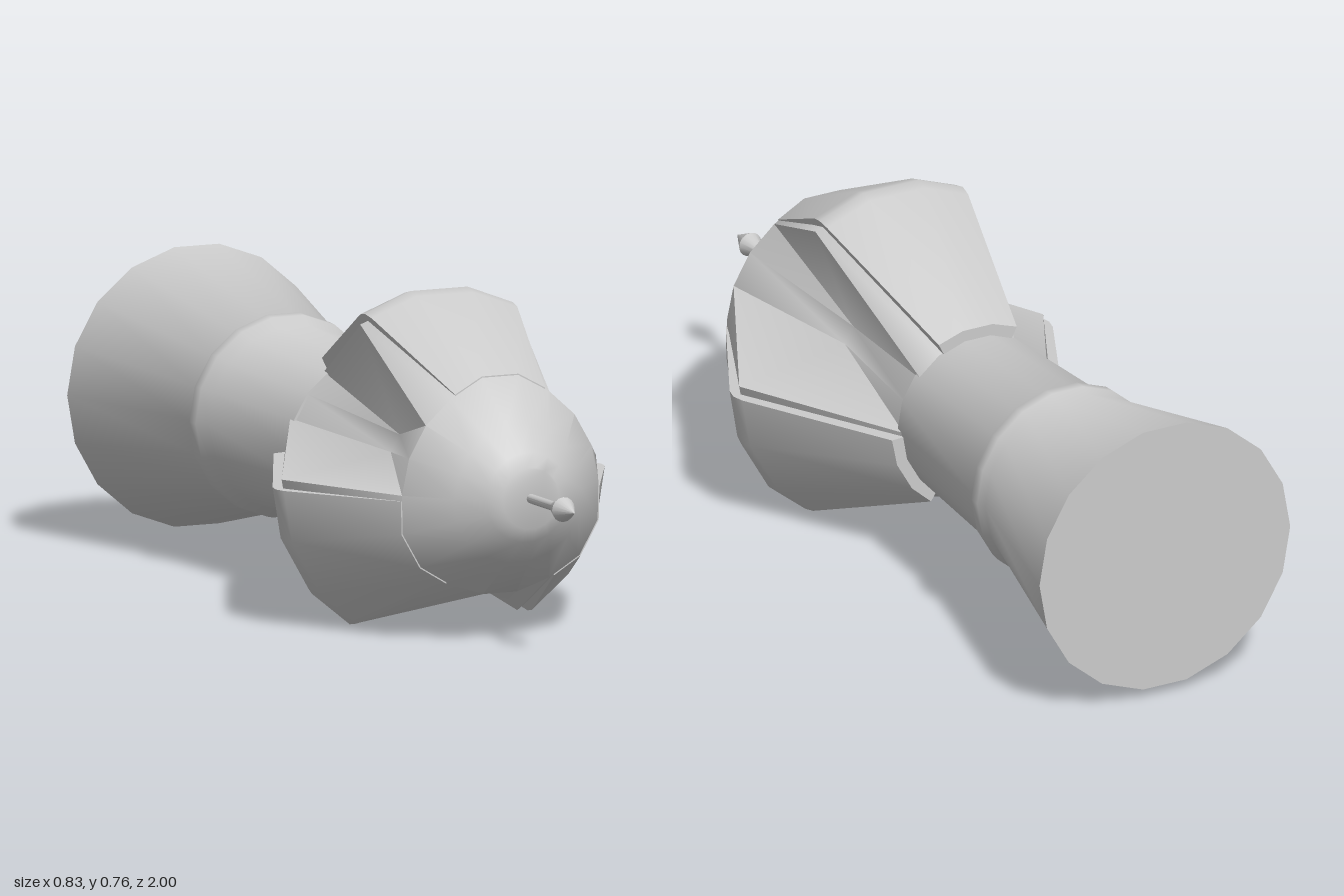
import * as THREE from 'three';
import { toCreasedNormals } from 'three/addons/utils/BufferGeometryUtils.js';

const AXIS_Y = 0.353;
const LOBES = [90, 210, 330];
const material = new THREE.MeshStandardMaterial({ color: 0xcccccc });

// one cross-section from [angle in degrees, radius] pairs, counterclockwise
const section = (z, pairs) => pairs.map(([deg, r]) => {
  const a = THREE.MathUtils.degToRad(deg);
  return [r * Math.cos(a), r * Math.sin(a), z];
});

// skin over closed cross-sections (from back to front), capped at both ends
function loft(rings, crease) {
  const n = rings[0].length, index = [];
  const points = rings.flat();
  for (let i = 0; i < rings.length - 1; i++) {
    for (let j = 0; j < n; j++) {
      const a = i * n + j, b = i * n + (j + 1) % n;
      index.push(a, b, b + n, a, b + n, a + n);
    }
  }
  const last = (rings.length - 1) * n;
  for (let j = 1; j < n - 1; j++) {
    index.push(0, j + 1, j);
    index.push(last, last + j, last + j + 1);
  }
  const geometry = new THREE.BufferGeometry();
  geometry.setAttribute('position', new THREE.Float32BufferAttribute(points.flat(), 3));
  geometry.setIndex(index);
  return toCreasedNormals(geometry, crease);
}

// 18-sided body ring: crown, shoulder and groove radii repeat for each lobe
const bodyRing = (z, crown, shoulder = crown, groove = shoulder) =>
  section(z, LOBES.flatMap((c) => [
    [c - 30, shoulder], [c - 10, crown], [c + 10, crown], [c + 30, shoulder], [c + 50, groove], [c + 70, groove],
  ]));

// lobe panel ring: faceted outer skin with a skirt sunk into the body
const panelRing = (z, crown, edge, inner) => section(z, [
  [63, edge], [80, crown], [100, crown], [117, edge], [117, inner], [63, inner],
]);

export function createModel() {
  const model = new THREE.Group();
  const add = (name, geometry, parent = model) => {
    const mesh = new THREE.Mesh(geometry, material);
    mesh.name = name;
    parent.add(mesh);
    return mesh;
  };

  const hull = new THREE.Group();
  hull.name = 'hull';
  hull.position.y = AXIS_Y;
  model.add(hull);

  // flared tail, raised collar and neck
  add('tailAndNeck', loft([
    [-1, 0.33], [-0.565, 0.228], [-0.545, 0.238], [-0.515, 0.236],
    [-0.485, 0.217], [-0.1, 0.197],
  ].map(([z, r]) => bodyRing(z, r)), 0.95), hull);

  // grooved body with blunt nose
  add('groovedBody', loft([
    bodyRing(-0.125, 0.195),
    bodyRing(0.28, 0.4, 0.4, 0.13),
    bodyRing(0.605, 0.264, 0.25, 0.247),
    bodyRing(0.7, 0.165, 0.162, 0.16),
    bodyRing(0.75, 0.105),
    bodyRing(0.768, 0.072),
  ], 1.1), hull);

  // three raised lobe panels
  LOBES.forEach((angle) => {
    const panel = add('lobePanel', loft([
      panelRing(-0.125, 0.226, 0.226, 0.185),
      panelRing(0.25, 0.413, 0.409, 0.36),
      panelRing(0.28, 0.4215, 0.416, 0.365),
      panelRing(0.31, 0.413, 0.409, 0.36),
      panelRing(0.605, 0.267, 0.253, 0.22),
    ], 0.95), hull);
    panel.rotation.z = THREE.MathUtils.degToRad(angle - 90);
  });

  // nose probe with a pointed head
  const probe = [[0, 0.75], [0.011, 0.75], [0.011, 0.89], [0.029, 0.94], [0, 1]]
    .map(([r, z]) => new THREE.Vector2(r, z));
  const probeMesh = add('noseProbe', toCreasedNormals(new THREE.LatheGeometry(probe, 16), 0.6), hull);
  probeMesh.rotation.x = Math.PI / 2;

  return model;
}
